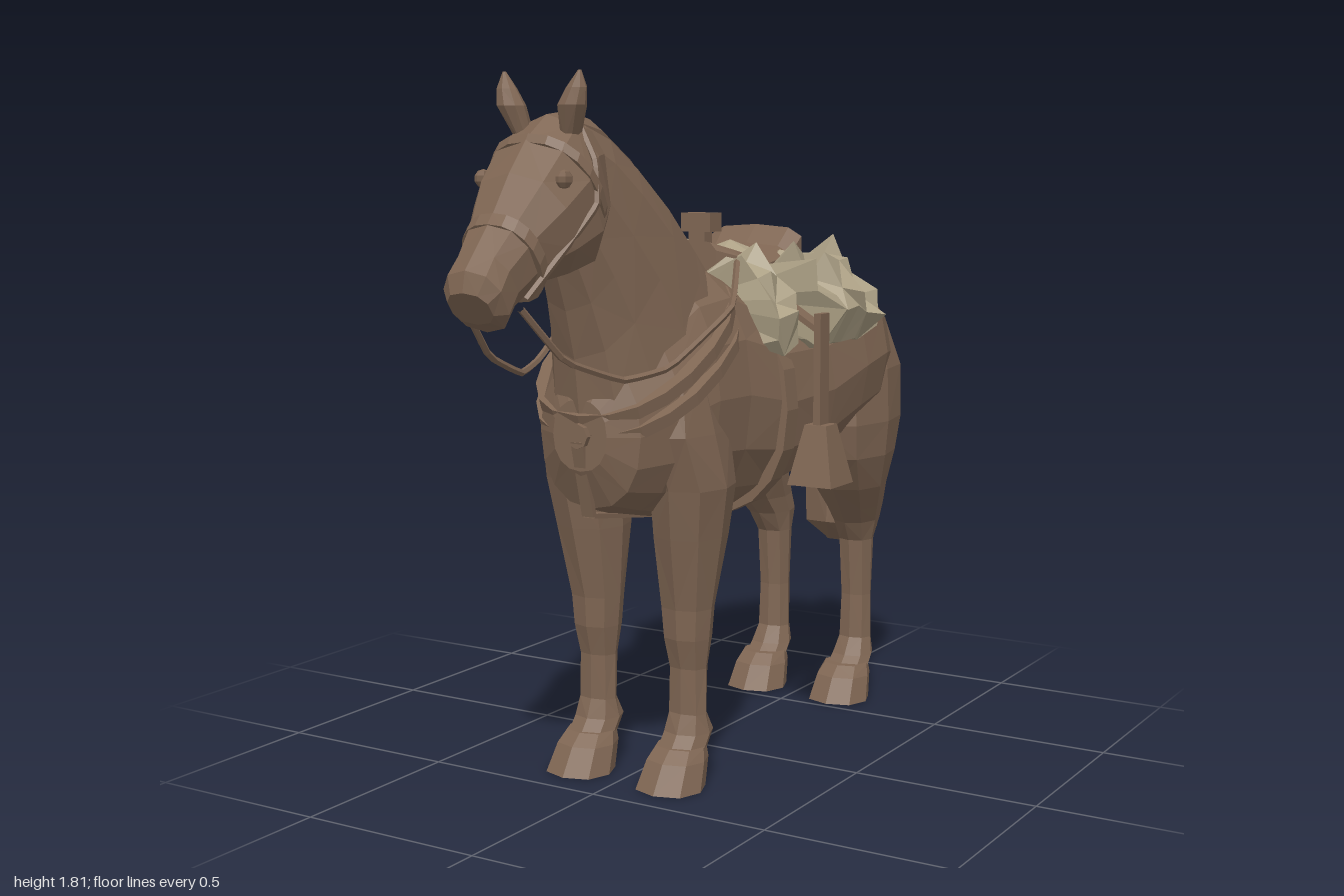
import * as THREE from 'three';

const mat = (name, color, extra = {}) => {
  const m = new THREE.MeshStandardMaterial({ color, flatShading: true, ...extra });
  m.name = name;
  return m;
};

export function createModel() {
  const horse = new THREE.Group();
  horse.name = 'saddledHorse';
  const brown = mat('brown', 0x7f6653);
  const fleece = mat('fleece', 0xaca085, { side: THREE.DoubleSide });

  let seed = 7;
  const rand = () => ((seed = (seed * 16807) % 2147483647) / 2147483647) * 2 - 1;

  const add = (name, geo, material = brown) => {
    const m = new THREE.Mesh(geo, material);
    m.name = name;
    horse.add(m);
    return m;
  };

  // Closed skin over rings of equal point count, capped at both ends, facing outward
  function skin(rings) {
    const n = rings[0].length, pos = [], idx = [];
    rings.forEach(r => r.forEach(p => pos.push(...p)));
    for (let i = 0; i < rings.length - 1; i++) {
      for (let j = 0; j < n; j++) {
        const a = i * n + j, b = i * n + (j + 1) % n;
        if ((i + j) % 2) idx.push(a, a + n, b, b, a + n, b + n);
        else idx.push(a, a + n, b + n, a, b + n, b);
      }
    }
    [0, rings.length - 1].forEach((k, e) => {
      const c = pos.length / 3;
      for (let d = 0; d < 3; d++) pos.push(rings[k].reduce((s, p) => s + p[d], 0) / n);
      for (let j = 0; j < n; j++) {
        const a = k * n + j, b = k * n + (j + 1) % n;
        idx.push(c, ...(e ? [b, a] : [a, b]));
      }
    });
    let vol = 0;
    const v = i => new THREE.Vector3().fromArray(pos, i * 3);
    for (let i = 0; i < idx.length; i += 3) vol += v(idx[i]).dot(v(idx[i + 1]).cross(v(idx[i + 2])));
    if (vol < 0) idx.reverse();
    const g = new THREE.BufferGeometry();
    g.setAttribute('position', new THREE.Float32BufferAttribute(pos, 3));
    g.setIndex(idx);
    g.computeVertexNormals();
    return g;
  }

  // Section: [yA, zA, yB, zB, halfWidth, xCentre], an oval whose axis runs from A to B
  function loft(sections, n = 12, power = 0.9) {
    const f = t => Math.sign(t) * Math.pow(Math.abs(t), power);
    return skin(sections.map(([ya, za, yb, zb, w, xc = 0]) =>
      Array.from({ length: n }, (_, j) => {
        const t = (j / n) * Math.PI * 2, c = f(Math.cos(t)), s = f(Math.sin(t));
        return [xc + w * s, (ya + yb) / 2 + (ya - yb) / 2 * c, (za + zb) / 2 + (za - zb) / 2 * c];
      })));
  }

  // Upright trunk sections: z, bottom, top, half width
  add('trunk', loft([
    [-0.8, 0.95, 1.12, 0.1], [-0.76, 0.86, 1.19, 0.2], [-0.67, 0.82, 1.27, 0.265],
    [-0.55, 0.79, 1.32, 0.312], [-0.42, 0.76, 1.3, 0.315], [-0.25, 0.7, 1.26, 0.3],
    [-0.05, 0.66, 1.27, 0.28], [0.12, 0.66, 1.34, 0.245], [0.26, 0.68, 1.32, 0.235],
    [0.4, 0.71, 1.22, 0.2], [0.5, 0.74, 1.12, 0.15], [0.545, 0.84, 1.02, 0.08],
  ].map(([z, b, t, w]) => [t, z, b, z, w]), 16));

  add('neck', loft([
    [1.28, 0.02, 0.84, 0.5, 0.2], [1.39, 0.12, 0.97, 0.545, 0.17], [1.5, 0.23, 1.12, 0.565, 0.143],
    [1.6, 0.36, 1.24, 0.6, 0.12], [1.67, 0.47, 1.34, 0.64, 0.1], [1.7, 0.57, 1.42, 0.65, 0.085],
  ], 12));

  add('mane', loft([
    [1.4, 0.08, 1.3, 0.06, 0.02], [1.5, 0.21, 1.4, 0.16, 0.028], [1.63, 0.365, 1.5, 0.32, 0.035],
    [1.7, 0.49, 1.58, 0.45, 0.035], [1.72, 0.58, 1.6, 0.55, 0.03], [1.71, 0.67, 1.64, 0.64, 0.03],
  ], 6));

  add('head', loft([
    [1.69, 0.57, 1.46, 0.525, 0.09], [1.71, 0.67, 1.4, 0.54, 0.125], [1.655, 0.75, 1.34, 0.6, 0.15],
    [1.575, 0.82, 1.32, 0.7, 0.138], [1.475, 0.89, 1.31, 0.79, 0.1], [1.4, 0.955, 1.265, 0.865, 0.08],
    [1.36, 0.99, 1.215, 0.91, 0.085], [1.31, 1.0, 1.235, 0.945, 0.06],
  ], 10, 0.85));

  add('tail', loft([
    [1.08, -0.75, 1.2, -0.77, 0.04], [1.04, -0.785, 1.14, -0.88, 0.06], [0.9, -0.785, 0.93, -0.945, 0.09],
    [0.7, -0.785, 0.7, -0.97, 0.118], [0.49, -0.785, 0.45, -0.998, 0.115], [0.42, -0.87, 0.41, -0.92, 0.05],
  ], 8));

  // Leg sections: height, front z, back z, half width, x offset
  const foreleg = [
    [1.08, 0.4, 0.22, 0.06, 0.15], [0.92, 0.44, 0.15, 0.085, 0.155], [0.78, 0.39, 0.15, 0.1, 0.16],
    [0.65, 0.365, 0.16, 0.09, 0.15], [0.46, 0.325, 0.2, 0.07, 0.14], [0.38, 0.32, 0.205, 0.063, 0.14],
    [0.3, 0.3, 0.22, 0.052, 0.14], [0.18, 0.3, 0.23, 0.055, 0.14], [0.13, 0.32, 0.2, 0.064, 0.14],
    [0.08, 0.36, 0.24, 0.065, 0.14],
  ];
  const hindLeg = [
    [1.14, -0.47, -0.73, 0.07, 0.18], [1, -0.4, -0.795, 0.11, 0.18], [0.85, -0.39, -0.785, 0.12, 0.18],
    [0.75, -0.42, -0.76, 0.115, 0.175], [0.65, -0.5, -0.745, 0.095, 0.165], [0.58, -0.57, -0.775, 0.072, 0.155],
    [0.53, -0.62, -0.788, 0.06, 0.145], [0.47, -0.66, -0.765, 0.05, 0.14], [0.3, -0.675, -0.755, 0.046, 0.14],
    [0.17, -0.67, -0.75, 0.05, 0.14], [0.12, -0.64, -0.75, 0.062, 0.14], [0.08, -0.6, -0.71, 0.065, 0.14],
  ];
  const strap = (pts, r) => new THREE.TubeGeometry(
    new THREE.CatmullRomCurve3(pts.map(p => new THREE.Vector3(...p)), false, 'catmullrom', 0.15), 24, r, 5);

  for (const s of [1, -1]) {
    const side = s > 0 ? 'left' : 'right';
    const limb = rows => loft(rows.map(([y, f, b, w, x]) => [y, f, y, b, w, x * s]), 8, 0.85);
    add(side + 'Foreleg', limb(foreleg));
    add(side + 'HindLeg', limb(hindLeg));
    add(side + 'ForeHoof', limb([[0.1, 0.355, 0.24, 0.068, 0.14], [0.07, 0.39, 0.24, 0.08, 0.14], [0, 0.435, 0.265, 0.09, 0.14]]));
    add(side + 'HindHoof', limb([[0.1, -0.595, -0.71, 0.068, 0.14], [0.07, -0.56, -0.71, 0.08, 0.14], [0, -0.52, -0.69, 0.09, 0.14]]));
    add(side + 'Ear', limb([[1.65, 0.69, 0.64, 0.02, 0.065], [1.73, 0.72, 0.66, 0.036, 0.087],
      [1.77, 0.71, 0.67, 0.026, 0.1], [1.81, 0.692, 0.685, 0.004, 0.108]]));

    const eye = add(side + 'Eye', new THREE.SphereGeometry(0.028, 7, 5));
    eye.scale.set(0.5, 0.8, 1.1);
    eye.position.set(0.116 * s, 1.56, 0.765);

    // Bridle and reins
    add(side + 'CheekStrap', strap([[0.07 * s, 1.69, 0.64], [0.13 * s, 1.6, 0.66], [0.146 * s, 1.5, 0.68],
      [0.118 * s, 1.4, 0.77], [0.08 * s, 1.29, 0.87]], 0.009));
    add(side + 'Rein', strap([[0.08 * s, 1.27, 0.89], [0.11 * s, 1.14, 0.76], [0.15 * s, 1.08, 0.58],
      [0.195 * s, 1.1, 0.44], [0.23 * s, 1.23, 0.2], [0.15 * s, 1.34, 0.03]], 0.009));

    // Stirrup leather and stirrup
    const over = add(side + 'StirrupStrap', new THREE.BoxGeometry(0.26, 0.015, 0.05));
    over.position.set(0.23 * s, 1.22, -0.095);
    over.rotation.z = -0.55 * s;
    add(side + 'StirrupLeather', new THREE.BoxGeometry(0.02, 0.32, 0.05)).position.set(0.335 * s, 1.04, -0.095);
    const stirrup = new THREE.CylinderGeometry(0.045, 0.092, 0.16, 4).rotateY(Math.PI / 4);
    add(side + 'Stirrup', stirrup).position.set(0.335 * s, 0.825, -0.095);
  }

  // Thin bands wrapped around the body and head
  const band = (name, [ya, za, yb, zb, w], dy, dz) =>
    add(name, loft([[ya, za, yb, zb, w], [ya + dy, za + dz, yb + dy, zb + dz, w]], 20, 0.88));
  band('breastCollarUpper', [1.3, 0.03, 0.98, 0.555, 0.235], -0.03, -0.012);
  band('breastCollarLower', [1.25, 0, 0.93, 0.55, 0.243], -0.03, -0.012);
  band('girth', [1.25, 0, 0.645, 0, 0.286], 0, -0.06);
  band('noseband', [1.485, 0.885, 1.3, 0.775, 0.106], -0.025, 0.02);
  band('browband', [1.665, 0.745, 1.42, 0.575, 0.15], -0.02, 0.012);

  // Chest badge and breast strap
  add('badge', new THREE.CylinderGeometry(0.032, 0.032, 0.02, 8).rotateX(Math.PI / 2)).position.set(0, 0.93, 0.55);
  const breast = add('breastStrap', new THREE.BoxGeometry(0.034, 0.2, 0.015));
  breast.position.set(0, 0.82, 0.53);
  breast.rotation.x = 0.24;
  const belly = add('bellyStrap', new THREE.BoxGeometry(0.034, 0.012, 0.52));
  belly.position.set(0, 0.685, 0.25);
  belly.rotation.x = -0.15;

  // Saddle
  add('saddleSeat', loft([
    [1.4, -0.355, 1.33, -0.355, 0.12], [1.42, -0.335, 1.31, -0.335, 0.15], [1.37, -0.28, 1.27, -0.28, 0.145],
    [1.345, -0.16, 1.26, -0.16, 0.14], [1.37, -0.06, 1.27, -0.06, 0.12], [1.39, 0, 1.29, 0, 0.07],
  ], 10, 0.7));
  add('saddleHorn', new THREE.BoxGeometry(0.09, 0.05, 0.06)).position.set(0, 1.435, -0.035);
  add('hornNeck', new THREE.BoxGeometry(0.05, 0.08, 0.04)).position.set(0, 1.385, -0.03);

  // Tuft of fleece showing in the seat
  const tuft = add('seatFleece', new THREE.ConeGeometry(0.1, 0.035, 6), fleece);
  tuft.scale.z = 0.65;
  tuft.position.set(0, 1.365, -0.19);

  // Shaggy fleece draped over the back, with seeded jitter
  function drape(name, zs, xScale, jitter) {
    const half = [[0.1, 1.33], [0.19, 1.36], [0.27, 1.315], [0.33, 1.25], [0.365, 1.19], [0.33, 1.12], [0.265, 1.11]];
    const outer = [...half.slice().reverse().map(([x, y]) => [-x, y]), [0, 1.3], ...half];
    add(name, skin(zs.map((z, i) => [
      ...outer.map(([x, y], j) => {
        const tip = ((i + j) % 2 ? 0.35 : -0.35) * jitter;
        return [x * xScale + Math.sign(x) * tip + rand() * jitter * 0.8,
          y + tip + rand() * jitter * 0.8, z + rand() * jitter * 0.6];
      }),
      [0.17, 1.13, z], [0, 1.16, z], [-0.17, 1.13, z],
    ])), fleece);
  }
  drape('rearFleece', [-0.425, -0.37, -0.31, -0.25, -0.19, -0.13], 1, 0.034);
  drape('frontFleece', [-0.05, 0, 0.045], 0.82, 0.026);

  return horse;
}
